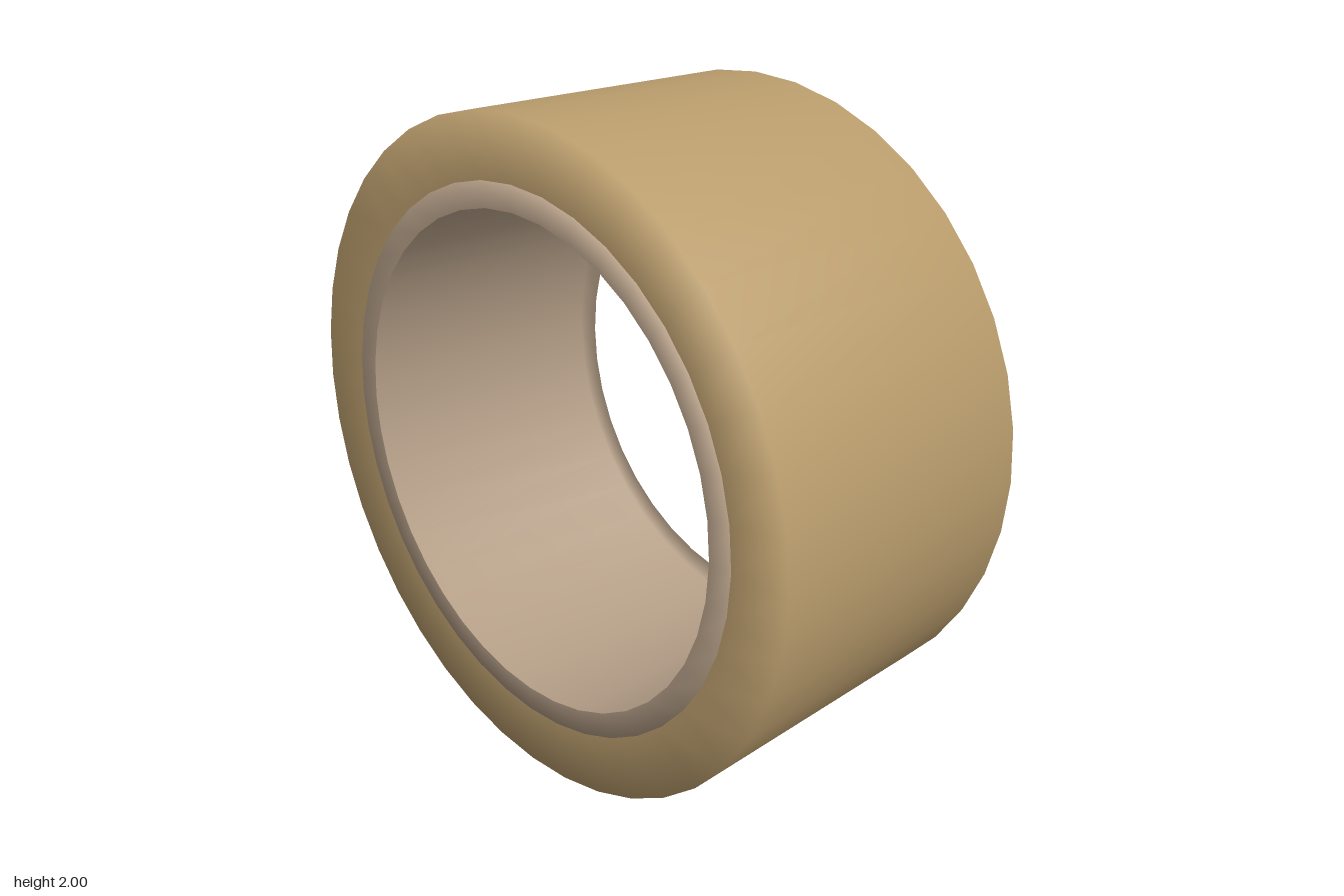
import * as THREE from 'three';
import { mergeVertices } from 'three/addons/utils/BufferGeometryUtils.js';

const SEGMENTS = 40;
const HALF_WIDTH = 0.465;

// Thin shell around the z axis: a wall at the outer radius with a flat
// flange at each end reaching in to the inner radius.
function flangedShell(name, inner, outer, color) {
  const points = [
    [inner, -HALF_WIDTH], [outer, -HALF_WIDTH], [outer, HALF_WIDTH], [inner, HALF_WIDTH],
  ].map(([r, z]) => new THREE.Vector2(r, z));
  let geometry = new THREE.LatheGeometry(points, SEGMENTS);
  // Weld the seam so the normals blend softly from wall to flange.
  geometry.deleteAttribute('uv');
  geometry.deleteAttribute('normal');
  geometry = mergeVertices(geometry, 1e-4);
  geometry.computeVertexNormals();
  geometry.rotateX(Math.PI / 2);
  const material = new THREE.MeshStandardMaterial({ color, side: THREE.DoubleSide });
  const mesh = new THREE.Mesh(geometry, material);
  mesh.name = name;
  mesh.position.y = 1;
  return mesh;
}

export function createModel() {
  const group = new THREE.Group();
  group.name = 'bandRing';

  // Thick outer band
  const band = flangedShell('outerBand', 0.815, 1, 0xb99c6c);
  band.material.name = 'tan';

  // Hollow sleeve inside it, with a narrow lip at each end
  const sleeve = flangedShell('innerSleeve', 0.74, 0.815, 0xb39d86);
  sleeve.material.name = 'taupe';

  group.add(band, sleeve);
  return group;
}
